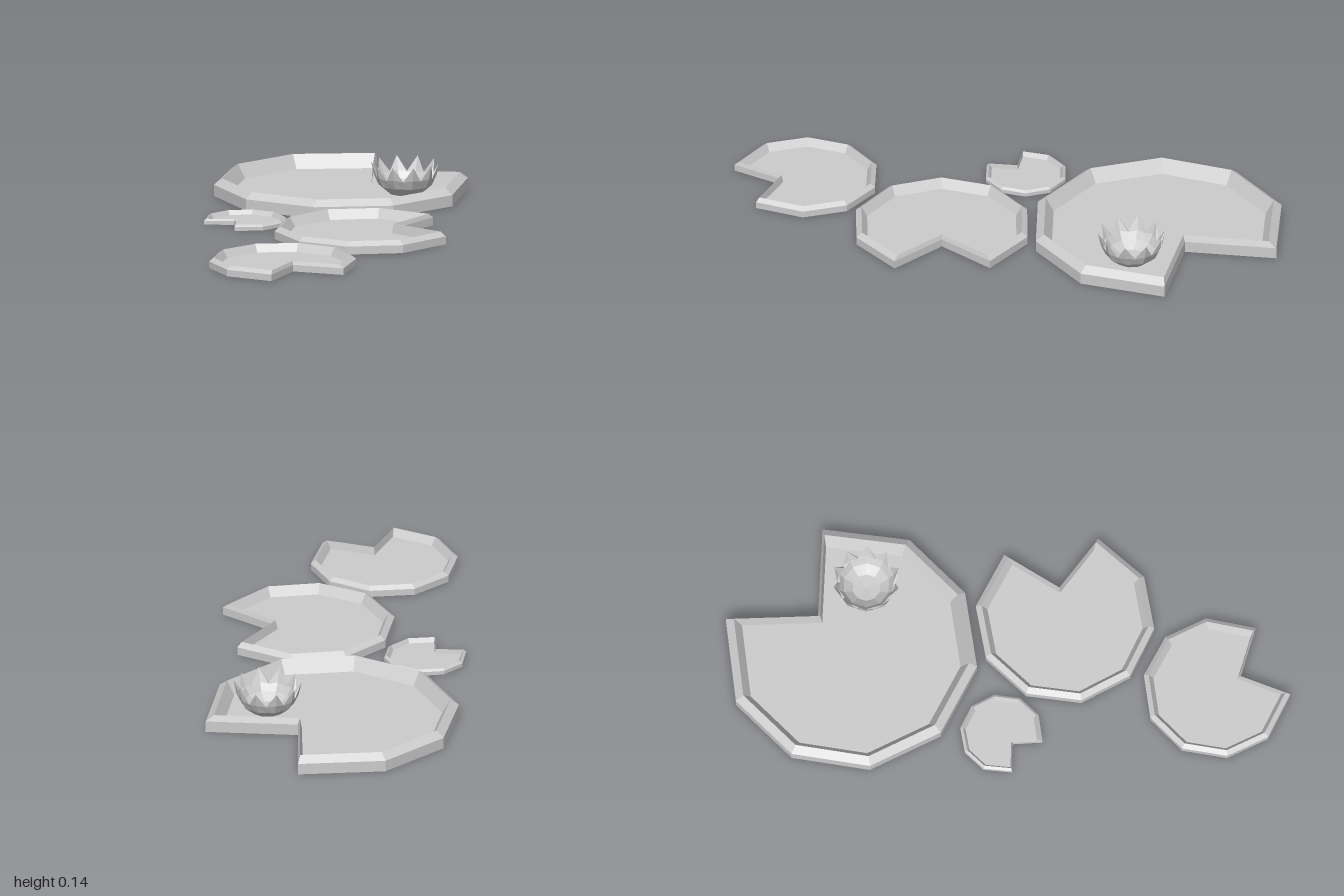
import * as THREE from 'three';

const material = new THREE.MeshStandardMaterial({
  color: 0xcccccc, flatShading: true, side: THREE.DoubleSide,
});

// Skin a stack of closed rings; each ring is an array of Vector3, listed outside bottom first.
function skinRings(rings) {
  const n = rings[0].length;
  const index = [];
  for (let r = 0; r < rings.length - 1; r++) {
    for (let i = 0; i < n; i++) {
      const a = r * n + i, b = r * n + (i + 1) % n;
      index.push(a, a + n, b + n, a, b + n, b);
    }
  }
  const geometry = new THREE.BufferGeometry().setFromPoints(rings.flat());
  geometry.setIndex(index);
  geometry.computeVertexNormals();
  return geometry;
}

const polar = (angle, radius, y) =>
  new THREE.Vector3(Math.cos(angle) * radius, y, Math.sin(angle) * radius);

// Ten-cornered leaf of radius 1 with its notch towards +x: wall, bevelled rim, sloping inside, floor
function padGeometry() {
  const corners = [[0, 0.36], [32, 1]];
  for (let k = 2; k <= 8; k++) corners.push([k * 36, 1]);
  corners.push([328, 1]);
  const profile = [[1, 0], [1, 0.09], [0.935, 0.139], [0.87, 0.03], [0, 0.03]];
  return skinRings(profile.map(([scale, y]) =>
    corners.map(([deg, r]) => polar(THREE.MathUtils.degToRad(deg), r * scale, y))));
}

// Open blossom: a faceted bowl whose edge rises into pointed petals, with a thin inner skin
function flowerGeometry(petals) {
  // radius and height at the petal line, then at the valley between petals
  const profile = [
    [0, 0.016, 0, 0.016],
    [0.065, 0.018, 0.062, 0.018],
    [0.104, 0.05, 0.098, 0.05],
    [0.122, 0.088, 0.114, 0.082],
    [0.134, 0.143, 0.114, 0.083],
    [0.112, 0.088, 0.104, 0.082],
    [0.092, 0.056, 0.088, 0.056],
    [0.055, 0.03, 0.053, 0.03],
    [0, 0.026, 0, 0.026],
  ];
  const count = petals * 2;
  return skinRings(profile.map(([rTip, yTip, rGap, yGap]) =>
    Array.from({ length: count }, (_, i) => {
      const angle = Math.PI / 2 + (i / count) * Math.PI * 2;
      return i % 2 ? polar(angle, rGap, yGap) : polar(angle, rTip, yTip);
    })));
}

export function createModel() {
  const model = new THREE.Group();
  model.name = 'lilyPads';

  // Four copies of one leaf: name, x, z, radius, direction of the notch in degrees
  const leaf = padGeometry();
  const pads = [
    ['largePad', 0.537, -0.27, 0.503, 8.5],
    ['mediumPad', -0.059, 0.338, 0.353, 42.7],
    ['smallPad', -0.709, 0.463, 0.29, 117],
    ['tinyPad', -0.147, -0.194, 0.164, 187],
  ];
  for (const [name, x, z, radius, notch] of pads) {
    const pad = new THREE.Mesh(leaf, material);
    pad.name = name;
    pad.position.set(x, 0, z);
    pad.scale.setScalar(radius);
    pad.rotation.y = -THREE.MathUtils.degToRad(notch);
    model.add(pad);
  }

  // Blossom resting on the largest pad
  const flower = new THREE.Mesh(flowerGeometry(10), material);
  flower.name = 'flower';
  flower.position.set(0.639, 0, -0.03);
  model.add(flower);

  return model;
}
